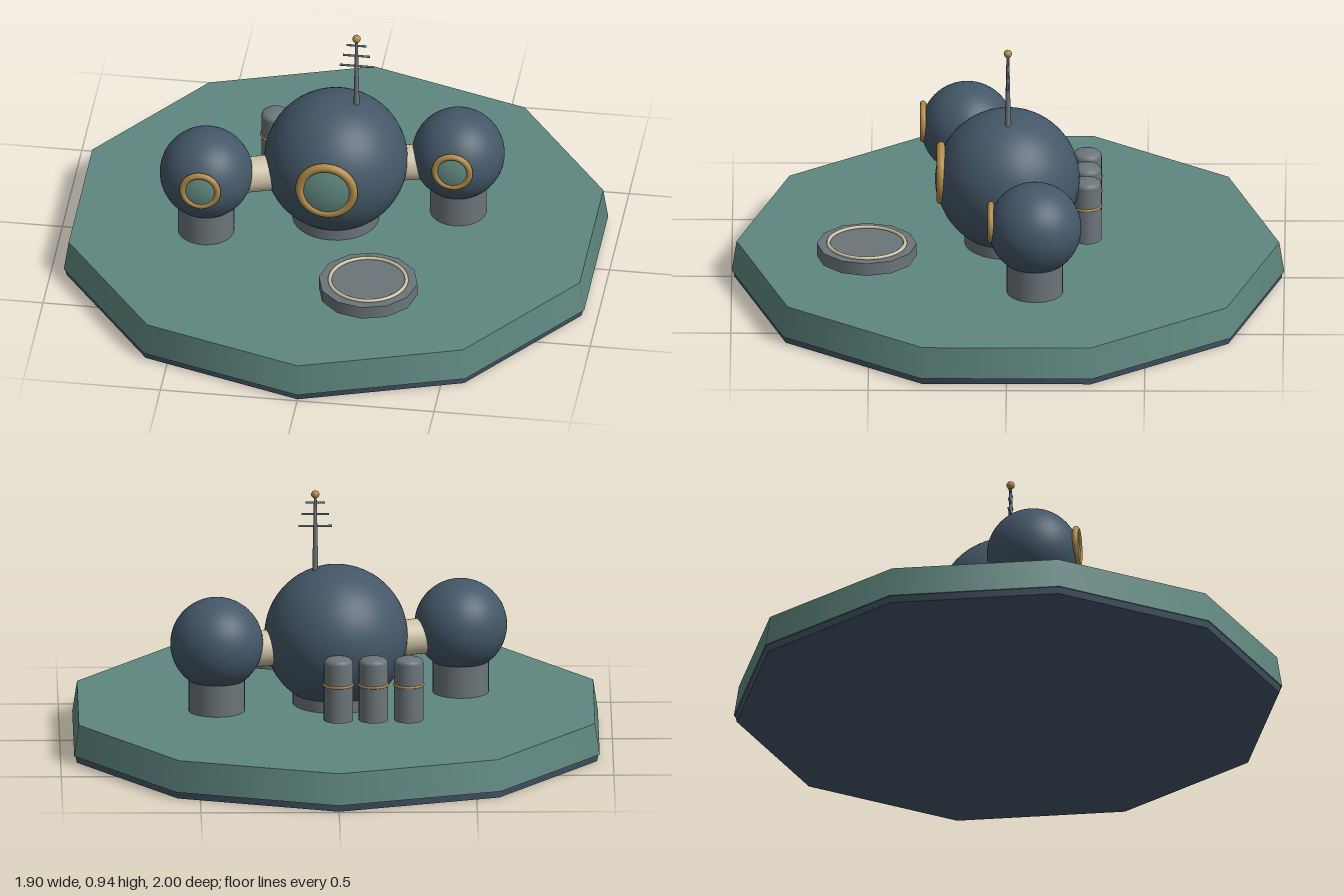
import * as THREE from 'three';

export function createModel() {
  const root = new THREE.Group();
  root.name = 'seabedHabitat';

  const paint = (name, color) => {
    const m = new THREE.MeshStandardMaterial({ color });
    m.name = name;
    return m;
  };
  const teal = paint('teal', 0x5f877f);
  const navy = paint('navy', 0x445768);
  const steel = paint('steel', 0x6b7579);
  const brass = paint('brass', 0xb08a48);
  const cream = paint('cream', 0xcdc3a8);

  const add = (name, geometry, material, x = 0, y = 0, z = 0, parent = root) => {
    const mesh = new THREE.Mesh(geometry, material);
    mesh.name = name;
    mesh.position.set(x, y, z);
    parent.add(mesh);
    return mesh;
  };
  // Upright cylinder between two heights
  const column = (name, rTop, rBottom, y0, y1, sides, material, x = 0, z = 0, parent = root) =>
    add(name, new THREE.CylinderGeometry(rTop, rBottom, y1 - y0, sides), material, x, (y0 + y1) / 2, z, parent);

  // Ten-sided ground slab
  column('groundUnderside', 0.995, 0.99, 0, 0.025, 10, navy);
  column('ground', 0.982, 1, 0.025, 0.14, 10, teal);

  // Spherical module with pedestal and front porthole
  function addModule(name, x, z, r, standR, standTop, ringR, tube, ringZ) {
    const pod = new THREE.Group();
    pod.name = name;
    pod.position.set(x, 0, z);
    root.add(pod);
    column('pedestal', standR, standR, 0.14, standTop, 32, steel, 0, 0, pod);
    add('hull', new THREE.SphereGeometry(r, 48, 32), navy, 0, 0.39, 0, pod);
    add('portholeRing', new THREE.TorusGeometry(ringR, tube, 14, 48), brass, 0, 0.413, ringZ, pod);
    // Glass is a shallow cap lying just over the hull
    const glassR = r + 0.004;
    const cap = new THREE.SphereGeometry(glassR, 40, 8, 0, Math.PI * 2, 0, Math.asin((ringR - tube * 0.9) / glassR));
    cap.rotateX(Math.PI / 2 - Math.asin(0.023 / r));
    add('portholeGlass', cap, teal, 0, 0.39, 0, pod);
  }
  addModule('mainModule', 0, 0, 0.26, 0.157, 0.21, 0.098, 0.016, 0.243);
  const sidePods = [
    ['rightModule', -0.453, 0.15],
    ['leftModule', 0.433, -0.1],
  ];
  for (const [name, x, z] of sidePods) {
    addModule(name, x, z, 0.168, 0.102, 0.28, 0.064, 0.0115, 0.16);
    // Connecting tunnel to the main module
    const tunnel = new THREE.CylinderGeometry(0.065, 0.065, Math.hypot(x, z), 28);
    tunnel.rotateZ(Math.PI / 2);
    add('tunnel', tunnel, cream, x / 2, 0.36, z / 2).rotation.y = Math.atan2(-z, x);
  }

  // Landing pad with marking ring
  column('landingPad', 0.18, 0.18, 0.17, 0.218, 12, steel, 0.19, 0.51);
  add('padRing', new THREE.TorusGeometry(0.139, 0.007, 8, 48).rotateX(Math.PI / 2), cream, 0.19, 0.221, 0.51);

  // Row of gas tanks with domed tops and brass bands
  for (const x of [-0.26, -0.132, -0.005]) {
    const profile = [[0, 0.152], [0.053, 0.152], [0.053, 0.152], [0.053, 0.366], [0.05, 0.375], [0.041, 0.382], [0.024, 0.387], [0, 0.389]]
      .map(([r, y]) => new THREE.Vector2(r, y));
    // Side and dome smooth, bottom a separate disc
    add('tank', new THREE.LatheGeometry(profile.slice(2), 28), steel, x, 0, -0.285);
    add('tankBottom', new THREE.CircleGeometry(0.053, 28).rotateX(Math.PI / 2), steel, x, 0.152, -0.285);
    add('tankBand', new THREE.TorusGeometry(0.052, 0.005, 8, 32).rotateX(Math.PI / 2), brass, x, 0.285, -0.285);
  }

  // Antenna mast, crossbars and tip
  column('antennaMast', 0.005, 0.012, 0.58, 0.915, 12, steel, 0.075);
  for (const [y, length] of [[0.802, 0.122], [0.846, 0.098], [0.89, 0.072]]) {
    add('antennaBar', new THREE.CylinderGeometry(0.004, 0.004, length, 8).rotateZ(Math.PI / 2), steel, 0.075, y, 0);
  }
  add('antennaTip', new THREE.SphereGeometry(0.015, 16, 12), brass, 0.075, 0.92, 0);

  return root;
}
